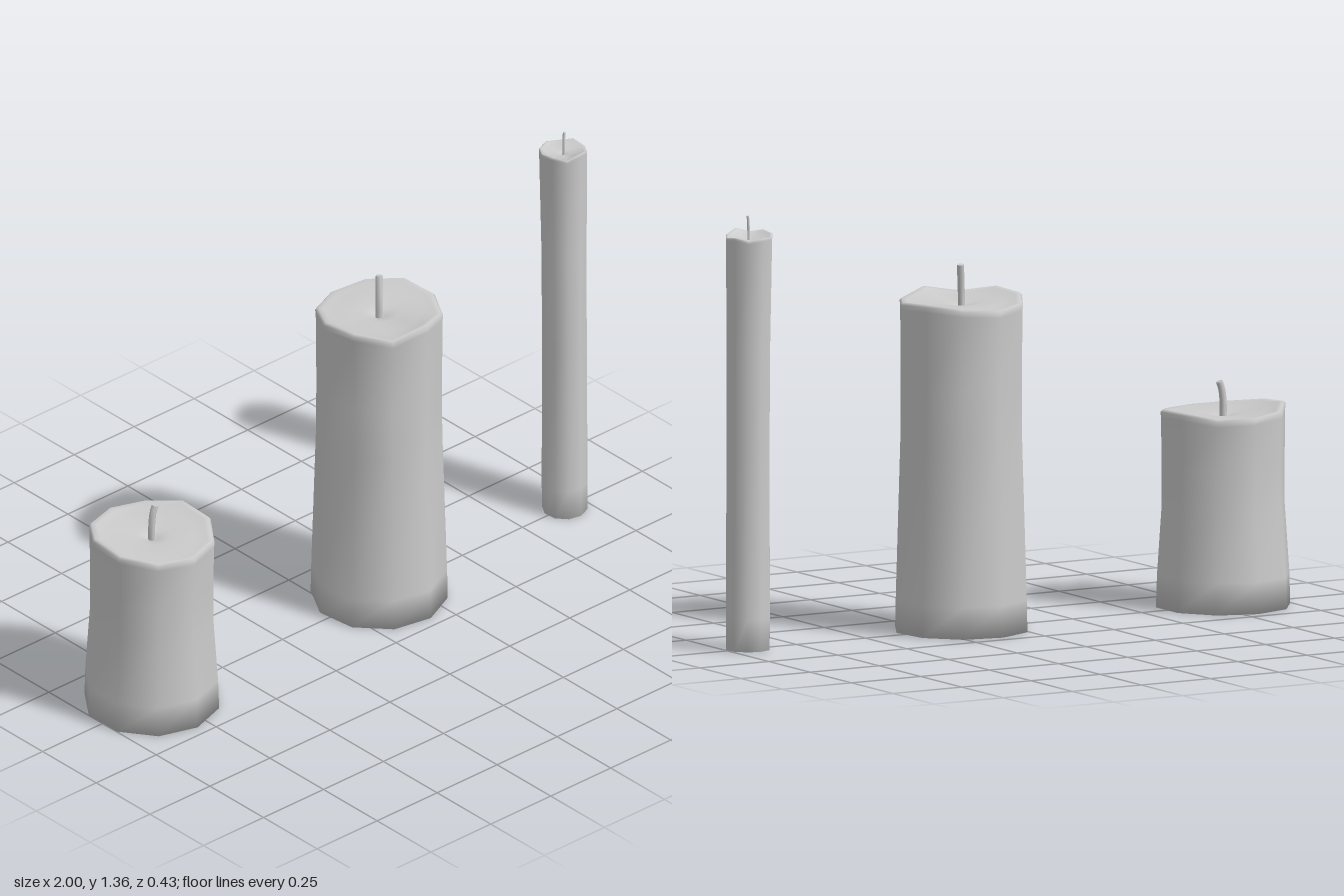
import * as THREE from 'three';

const SIDES = 10;

// Closed ten-sided wax body: side rings, wavy rim, dished top with a dimple.
// side: [radius, y] pairs; rim: one height per corner, starting at the front.
function waxGeometry({ side, rim, topRadius, poolY, shear = 0 }) {
  const H = poolY + 0.02, pos = [], idx = [];
  const add = (r, k, y) => {
    const a = (k / SIDES) * Math.PI * 2;
    pos.push(r * Math.sin(a), y, r * Math.cos(a) + shear * (y / H) ** 3);
  };
  const rings = [
    ...side.map(([r, y]) => ({ r, y: () => y })),
    { r: topRadius * 0.99, y: k => rim[k] - 0.12 * topRadius },
    { r: topRadius, y: k => rim[k] - 0.04 * topRadius },
    { r: topRadius * 0.96, y: k => rim[k] },
    { r: topRadius * 0.88, y: k => rim[k] - 0.02 * topRadius },
    { r: topRadius * 0.68, y: k => poolY + 0.35 * (rim[k] - poolY) },
    { r: topRadius * 0.3, y: () => poolY },
    { r: topRadius * 0.1, y: () => poolY - 0.05 * topRadius },
  ];
  for (const ring of rings)
    for (let k = 0; k < SIDES; k++) add(ring.r, k, ring.y(k));
  const bottom = pos.length / 3;
  add(0, 0, 0);
  add(0, 0, poolY - 0.12 * topRadius);
  const last = (rings.length - 1) * SIDES;
  for (let k = 0; k < SIDES; k++) {
    const n = (k + 1) % SIDES;
    for (let j = 0; j < rings.length - 1; j++) {
      const a = j * SIDES + k, b = j * SIDES + n;
      idx.push(a, b, b + SIDES, a, b + SIDES, a + SIDES);
    }
    idx.push(bottom, n, k, bottom + 1, last + k, last + n);
  }
  const g = new THREE.BufferGeometry();
  g.setAttribute('position', new THREE.Float32BufferAttribute(pos, 3));
  g.setIndex(idx);
  g.computeVertexNormals();
  return g;
}

// Bent wick with a flat tip
function wickMesh(points, radius, material) {
  const curve = new THREE.CatmullRomCurve3(points.map(p => new THREE.Vector3(...p)));
  const group = new THREE.Group();
  group.name = 'wick';
  const stem = new THREE.Mesh(new THREE.TubeGeometry(curve, 8, radius, 6), material);
  stem.name = 'wickStem';
  const tip = new THREE.Mesh(new THREE.CircleGeometry(radius, 6), material);
  tip.name = 'wickTip';
  tip.position.copy(curve.getPoint(1));
  tip.lookAt(curve.getPoint(1).add(curve.getTangent(1)));
  group.add(stem, tip);
  return group;
}

const CANDLES = [
  {
    name: 'shortCandle', x: -0.795, turn: 0, topRadius: 0.2, poolY: 0.604,
    side: [[0.214, 0], [0.211, 0.1], [0.196, 0.32], [0.196, 0.45]],
    rim: [0.607, 0.608, 0.622, 0.627, 0.612, 0.615, 0.622, 0.636, 0.627, 0.613],
    wick: [[0, 0.58, 0], [0, 0.64, 0], [0.006, 0.685, 0], [0.014, 0.705, 0]], wickRadius: 0.011,
  },
  {
    name: 'pillarCandle', x: 0.153, turn: 0.12, topRadius: 0.2, poolY: 1.027,
    side: [[0.214, 0], [0.212, 0.1], [0.197, 0.6], [0.196, 0.78]],
    rim: [1.056, 1.035, 1.038, 1.045, 1.034, 1.026, 1.034, 1.05, 1.056, 1.036],
    wick: [[-0.002, 1.0, 0], [0, 1.06, 0], [0.006, 1.11, -0.007], [0.012, 1.15, -0.015]], wickRadius: 0.011,
  },
  {
    name: 'taperCandle', x: 0.926, turn: 0.08, topRadius: 0.076, poolY: 1.291, shear: -0.007,
    side: [[0.071, 0], [0.072, 0.1], [0.07, 0.6], [0.071, 0.95]],
    rim: [1.316, 1.302, 1.297, 1.303, 1.293, 1.301, 1.3, 1.306, 1.312, 1.303],
    wick: [[0, 1.275, -0.005], [0, 1.31, -0.004], [0.001, 1.34, -0.005], [0.004, 1.363, -0.006]], wickRadius: 0.0045,
  },
];

export function createModel() {
  const model = new THREE.Group();
  model.name = 'candles';
  const material = new THREE.MeshStandardMaterial({ color: 0xcccccc });
  for (const c of CANDLES) {
    const candle = new THREE.Group();
    candle.name = c.name;
    const wax = new THREE.Mesh(waxGeometry(c), material);
    wax.name = 'waxBody';
    wax.rotation.y = c.turn;
    candle.add(wax, wickMesh(c.wick, c.wickRadius, material));
    candle.position.x = c.x;
    model.add(candle);
  }
  return model;
}
